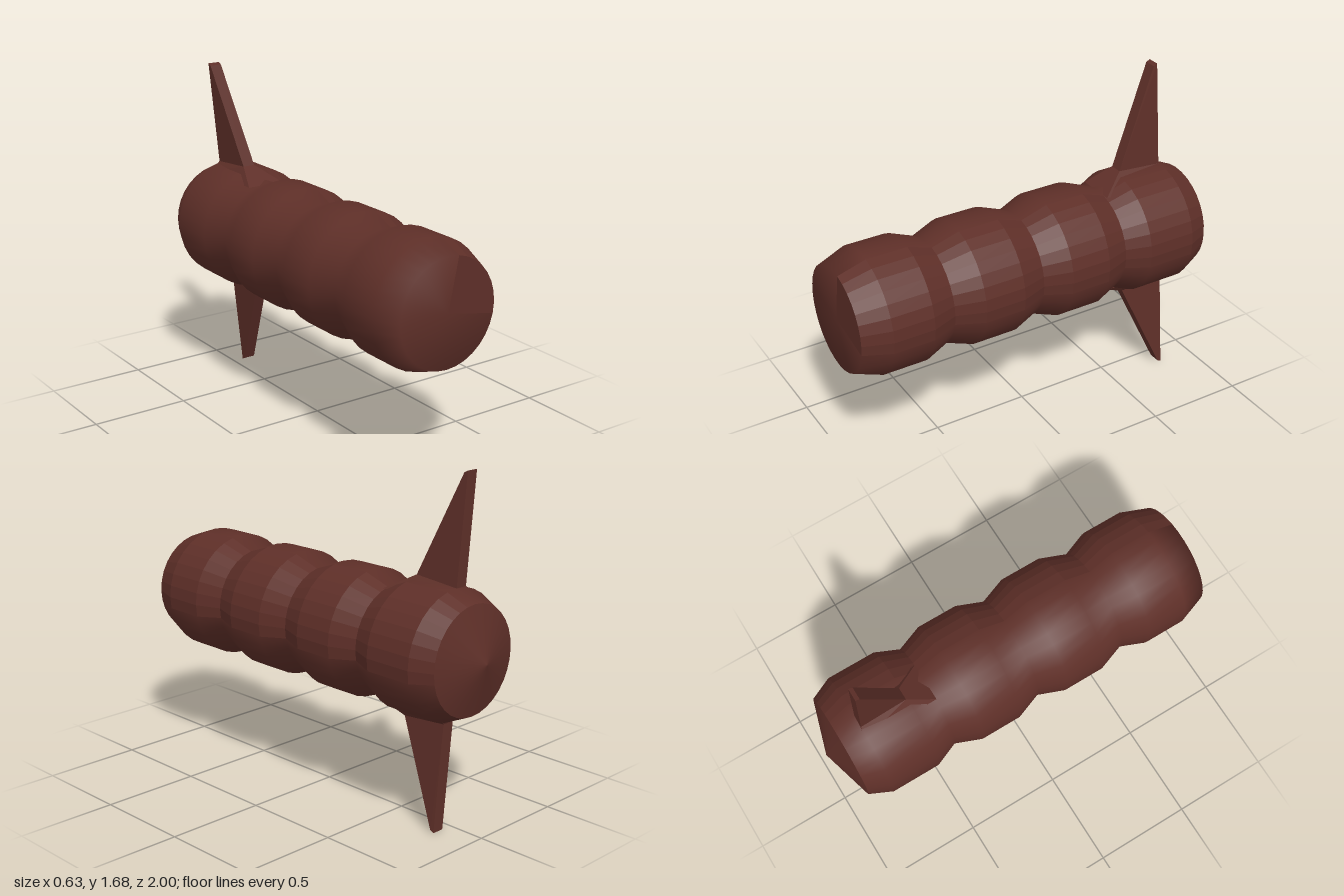
import * as THREE from 'three';

const COLOR = 0x5e2f28;
const CENTER_Y = 0.85;
const SEGMENTS = 32;

// Ribbed body profile as [radius, z], back to front
const PROFILE = [
  [0.265, -0.92], [0.315, -0.81], [0.315, -0.56],
  [0.265, -0.44], [0.315, -0.31], [0.315, -0.1],
  [0.265, 0.035], [0.315, 0.17], [0.315, 0.38],
  [0.265, 0.52], [0.315, 0.65], [0.315, 0.86],
  [0.265, 1], [0, 1],
];

function createMesh(name, geometry, flatShading) {
  const material = new THREE.MeshStandardMaterial({ color: COLOR, flatShading });
  const mesh = new THREE.Mesh(geometry, material);
  mesh.name = name;
  return mesh;
}

// Turns a profile around the z axis, over part of the circle
function turned(profile, firstSegment, count) {
  const step = (Math.PI * 2) / SEGMENTS;
  const points = profile.map(([r, z]) => new THREE.Vector2(r, z));
  const geometry = new THREE.LatheGeometry(points, count, firstSegment * step, count * step);
  return geometry.rotateX(Math.PI / 2);
}

// Leaning, swept fin: a box whose three levels are moved onto cross-sections
function finGeometry() {
  const levels = [
    { x: -0.015, half: 0.1, front: [1.11, -0.44], back: [1.11, -0.83] },
    { x: -0.033, half: 0.032, front: [1.185, -0.57], back: [1.165, -0.81] },
    { x: -0.087, half: 0.031, front: [1.68, -0.79], back: [1.69, -0.81] },
  ];
  const geometry = new THREE.BoxGeometry(1, 2, 1, 1, 2, 1);
  const pos = geometry.attributes.position;
  for (let i = 0; i < pos.count; i++) {
    const level = levels[Math.round(pos.getY(i)) + 1];
    const [y, z] = pos.getZ(i) > 0 ? level.front : level.back;
    pos.setXYZ(i, level.x + Math.sign(pos.getX(i)) * level.half, y - CENTER_Y, z);
  }
  geometry.computeVertexNormals();
  return geometry;
}

export function createModel() {
  const model = new THREE.Group();
  model.name = 'finnedBody';

  const assembly = new THREE.Group();
  assembly.name = 'assembly';
  assembly.position.y = CENTER_Y;
  model.add(assembly);

  // Smooth ribbed body with one faceted quarter on the upper left
  assembly.add(createMesh('smoothBody', turned(PROFILE, 15, 24), false));
  assembly.add(createMesh('facetedBodyPanel', turned(PROFILE, 7, 8), true));

  // Pointed tail
  assembly.add(createMesh('tailCone', turned([[0, -1], [0.265, -0.92]], 0, SEGMENTS), false));

  // Two fins, half a turn apart
  const fin = finGeometry();
  ['upperFin', 'lowerFin'].forEach((name, i) => {
    const mesh = createMesh(name, fin, true);
    mesh.rotation.z = i * Math.PI;
    assembly.add(mesh);
  });

  return model;
}
